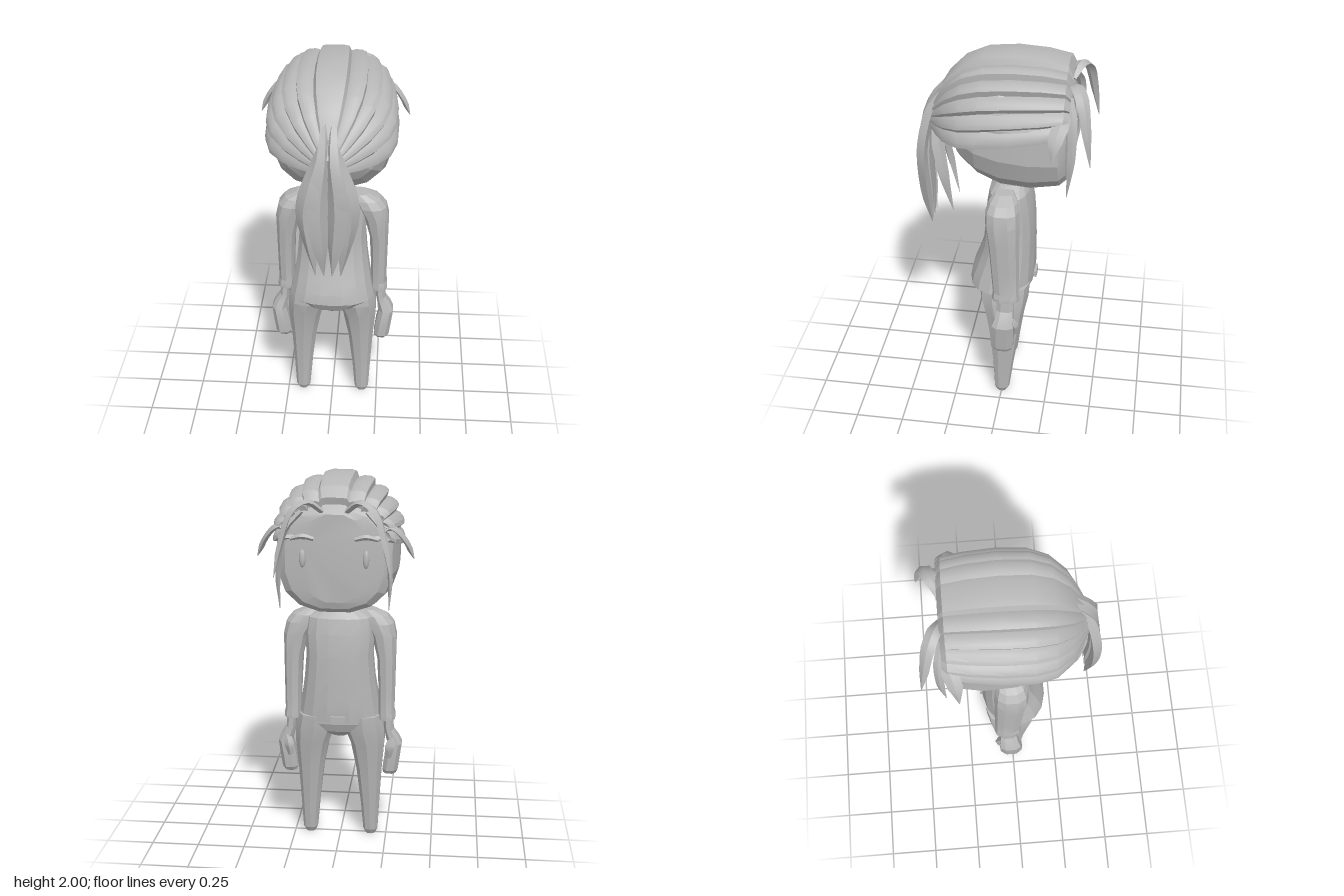
import * as THREE from 'three';
import { toCreasedNormals } from 'three/addons/utils/BufferGeometryUtils.js';

const V = (x, y, z) => new THREE.Vector3(x, y, z);

// Skin a list of equal-length point rows; closed rows get end caps and face outward.
function skin(rows, closed, crease) {
  const n = rows[0].length, pos = [], index = [];
  rows.forEach(r => r.forEach(p => pos.push(p.x, p.y, p.z)));
  const cols = closed ? n : n - 1;
  for (let i = 0; i < rows.length - 1; i++) {
    for (let j = 0; j < cols; j++) {
      const a = i * n + j, b = i * n + (j + 1) % n;
      index.push(a, a + n, b, b, a + n, b + n);
    }
  }
  if (closed) {
    const last = (rows.length - 1) * n;
    for (let j = 1; j < n - 1; j++) {
      index.push(0, j, j + 1, last, last + j + 1, last + j);
    }
    // Flip the faces when the enclosed volume is negative
    let volume = 0;
    const at = k => V(pos[k * 3], pos[k * 3 + 1], pos[k * 3 + 2]);
    for (let k = 0; k < index.length; k += 3) {
      volume += at(index[k]).dot(at(index[k + 1]).cross(at(index[k + 2])));
    }
    if (volume < 0) index.reverse();
  }
  const g = new THREE.BufferGeometry();
  g.setAttribute('position', new THREE.Float32BufferAttribute(pos, 3));
  g.setIndex(index);
  return toCreasedNormals(g, crease);
}

// Power curve that squares off a circle
const round = (c, e) => Math.sign(c) * Math.pow(Math.abs(c), e);

// Upright body part from rows of [y, centre x, half width, front z, back z]
function bodyPart(rows, sides, side = 1, crease = 0.25) {
  return skin(rows.map(([y, xc, hx, z0, z1]) => Array.from({ length: sides }, (_, j) => {
    const a = (j + 0.5) / sides * Math.PI * 2;
    return V(side * (xc + hx * round(Math.cos(a), 0.8)), y,
      (z0 + z1) / 2 + (z1 - z0) / 2 * round(Math.sin(a), 0.8));
  })), true, crease);
}

// Tapered lock with a diamond section along a curve
function lock(points, across, widths, thick, side = 1) {
  const curve = new THREE.CatmullRomCurve3(points.map(p => V(p[0] * side, p[1], p[2])));
  const wide = V(across[0] * side, across[1], across[2]).normalize();
  const rows = [], steps = 12;
  for (let i = 0; i <= steps; i++) {
    const t = i / steps, f = t * (widths.length - 1), k = Math.min(Math.floor(f), widths.length - 2);
    const w = THREE.MathUtils.lerp(widths[k], widths[k + 1], f - k);
    const c = curve.getPoint(t), tan = curve.getTangent(t);
    const out = tan.clone().cross(wide).normalize(), s = out.clone().cross(tan);
    const h = Math.min(thick, w * 0.8);
    rows.push([[w, 0], [0, h], [-w, 0], [0, -h]].map(([p, q]) =>
      c.clone().addScaledVector(s, p).addScaledVector(out, q)));
  }
  return skin(rows, true, 0.6);
}

// Swept-back hair: ridged strands running from the hairline to the tie
function hairCap() {
  // z, half width, top y, lower edge y
  const rows = [
    [-0.25, 0.25, 1.87, 1.73], [-0.325, 0.25, 1.875, 1.74], [-0.335, 0.275, 1.91, 1.73],
    [-0.31, 0.30, 1.965, 1.72], [-0.2, 0.32, 1.99, 1.70], [-0.05, 0.333, 2.0, 1.68],
    [0.1, 0.328, 1.987, 1.66], [0.2, 0.297, 1.945, 1.64], [0.28, 0.23, 1.865, 1.625],
    [0.33, 0.15, 1.78, 1.61], [0.365, 0.08, 1.71, 1.6], [0.39, 0.035, 1.67, 1.6]];
  const edges = [13, 31, 47, 63, 79, 97];
  const half = [[0, 0.9], [8, 1], [13, 0.95]];
  for (let k = 1; k < edges.length; k++) {
    const a = edges[k - 1], d = edges[k] - a;
    half.push([a + d * 0.2, 0], [a + d * 0.42, 0.55], [a + d * 0.75, 0.95], [a + d, 0.95]);
  }
  half.push([98, -2]);
  const cols = [...half.slice(1).reverse().map(([a, b]) => [-a, b]), ...half];
  return skin(rows.map(([z, rx, top, low]) => cols.map(([deg, bump]) => {
    const a = deg * Math.PI / 180, s = 1 - 0.09 * (1 - bump);
    return V(rx * s * Math.sin(a), low + (top - low) * s * Math.cos(a), z);
  })), false, 0.5);
}

export function createModel() {
  const model = new THREE.Group();
  const grey = new THREE.MeshStandardMaterial({ color: 0xb8b8b8, side: THREE.DoubleSide });
  grey.name = 'plain grey';
  const add = (name, geometry) => {
    const mesh = new THREE.Mesh(geometry, grey);
    mesh.name = name;
    model.add(mesh);
    return mesh;
  };

  // Head: rounded sections from the gently curved face to the back of the skull
  const headRows = [
    [-0.335, 0.16, 1.39, 1.83], [-0.322, 0.245, 1.355, 1.85], [-0.29, 0.285, 1.33, 1.88],
    [-0.15, 0.312, 1.31, 1.93], [0, 0.312, 1.323, 1.95], [0.12, 0.288, 1.375, 1.92],
    [0.21, 0.235, 1.455, 1.86], [0.28, 0.13, 1.565, 1.76]];
  add('head', skin(headRows.map(([z, w, y0, y1]) => Array.from({ length: 16 }, (_, j) => {
    const a = (j + 0.5) / 16 * Math.PI * 2;
    return V(w * round(Math.cos(a), 0.8), (y0 + y1) / 2 + (y1 - y0) / 2 * round(Math.sin(a), 0.8), z);
  })), true, 0.25));
  add('hair', hairCap());

  // Neck, jumper, hips and buckle
  add('neck', new THREE.CylinderGeometry(0.06, 0.075, 0.12, 10)).position.set(0, 1.29, -0.04);
  add('jumper', bodyPart([
    [0.695, 0, 0.228, -0.155, 0.183], [0.75, 0, 0.215, -0.16, 0.175], [0.82, 0, 0.202, -0.16, 0.148],
    [0.92, 0, 0.187, -0.16, 0.115], [1.05, 0, 0.176, -0.158, 0.1], [1.17, 0, 0.185, -0.148, 0.092],
    [1.25, 0, 0.175, -0.13, 0.078], [1.295, 0, 0.1, -0.105, 0.045]], 16));
  add('hips', bodyPart([
    [0.595, 0, 0.05, -0.08, 0.09], [0.635, 0, 0.16, -0.13, 0.14],
    [0.68, 0, 0.212, -0.148, 0.165], [0.73, 0, 0.205, -0.15, 0.15]], 14));
  add('buckle', new THREE.BoxGeometry(0.075, 0.035, 0.02)).position.set(0, 0.715, -0.16);

  for (const side of [1, -1]) {
    const label = side > 0 ? 'left' : 'right';

    // Leg tapering to a small rounded foot
    add(label + 'Leg', bodyPart([
      [0, 0.165, 0.025, -0.025, 0.025], [0.03, 0.165, 0.04, -0.043, 0.04],
      [0.2, 0.162, 0.052, -0.065, 0.048], [0.4, 0.156, 0.07, -0.095, 0.07],
      [0.55, 0.148, 0.092, -0.12, 0.095], [0.64, 0.13, 0.11, -0.14, 0.12],
      [0.72, 0.123, 0.1, -0.145, 0.12]], 10, side));

    // Sleeve, wrist and hand
    add(label + 'Sleeve', bodyPart([
      [0.695, 0.25, 0.046, -0.107, 0.037], [0.715, 0.25, 0.046, -0.107, 0.038],
      [0.74, 0.247, 0.043, -0.103, 0.034], [0.88, 0.247, 0.045, -0.102, 0.044],
      [1.03, 0.244, 0.05, -0.102, 0.056], [1.15, 0.23, 0.066, -0.102, 0.074],
      [1.215, 0.205, 0.077, -0.097, 0.074], [1.255, 0.18, 0.07, -0.085, 0.06],
      [1.285, 0.14, 0.045, -0.06, 0.035]], 10, side));
    add(label + 'Hand', bodyPart([
      [0.378, 0.267, 0.035, -0.065, 0.025], [0.4, 0.27, 0.044, -0.08, 0.043],
      [0.48, 0.281, 0.044, -0.085, 0.046], [0.55, 0.294, 0.04, -0.085, 0.037],
      [0.59, 0.28, 0.036, -0.08, 0.022], [0.63, 0.262, 0.026, -0.078, 0.014],
      [0.71, 0.256, 0.026, -0.078, 0.014]], 8, side));
    add(label + 'Thumb', lock([[0.285, 0.585, -0.065], [0.27, 0.54, -0.087], [0.262, 0.48, -0.083]],
      [1, 0, 0], [0.022, 0.026, 0.014], 0.02, side));

    // Eye and eyebrow on the face
    const eye = add(label + 'Eye', new THREE.SphereGeometry(1, 12, 8));
    eye.scale.set(0.016, 0.045, 0.014);
    eye.position.set(side * 0.155, 1.61, -0.335);
    add(label + 'Brow', lock([[0.1, 1.708, -0.337], [0.155, 1.72, -0.34], [0.215, 1.705, -0.33]],
      [0, 1, 0], [0.01, 0.014, 0.008], 0.015, side));

    // Loose locks around the face
    add(label + 'FrontLock', lock([[0.06, 1.84, -0.32], [0.13, 1.89, -0.355], [0.2, 1.85, -0.39],
      [0.25, 1.7, -0.42], [0.28, 1.54, -0.445]], [0.5, 0, 1], [0.02, 0.034, 0.034, 0.024, 0.002], 0.014, side));
    add(label + 'LongLock', lock([[0.16, 1.84, -0.325], [0.235, 1.75, -0.35], [0.272, 1.56, -0.352],
      [0.268, 1.36, -0.335]], [0.2, 0, 1], [0.02, 0.024, 0.02, 0.002], 0.013, side));
    add(label + 'SideLock', lock([[0.21, 1.78, -0.31], [0.285, 1.76, -0.3], [0.34, 1.7, -0.28],
      [0.385, 1.605, -0.268]], [0, 0.1, 1], [0.03, 0.04, 0.036, 0.002], 0.014, side));

    // Ponytail: two broad strands folding to a groove, and a thin one underneath
    add(label + 'TailInner', lock([[0.02, 1.86, 0.25], [0.02, 1.75, 0.345], [0.026, 1.64, 0.393],
      [0.042, 1.5, 0.405], [0.047, 1.37, 0.408], [0.036, 1.2, 0.4], [0.02, 1.02, 0.385]],
      [1, 0, 0.55], [0.012, 0.026, 0.034, 0.056, 0.06, 0.043, 0.002], 0.026, side));
    add(label + 'TailOuter', lock([[0.03, 1.76, 0.325], [0.045, 1.65, 0.378], [0.09, 1.5, 0.41],
      [0.107, 1.38, 0.41], [0.085, 1.2, 0.4], [0.062, 1.02, 0.382]],
      [1, 0, -0.4], [0.015, 0.038, 0.054, 0.054, 0.036, 0.002], 0.028, side));
    add(label + 'TailUnder', lock([[0.03, 1.64, 0.35], [0.07, 1.5, 0.335], [0.095, 1.33, 0.305],
      [0.09, 1.12, 0.262]], [0.6, 0, 1], [0.02, 0.035, 0.028, 0.002], 0.018, side));
  }

  return model;
}
